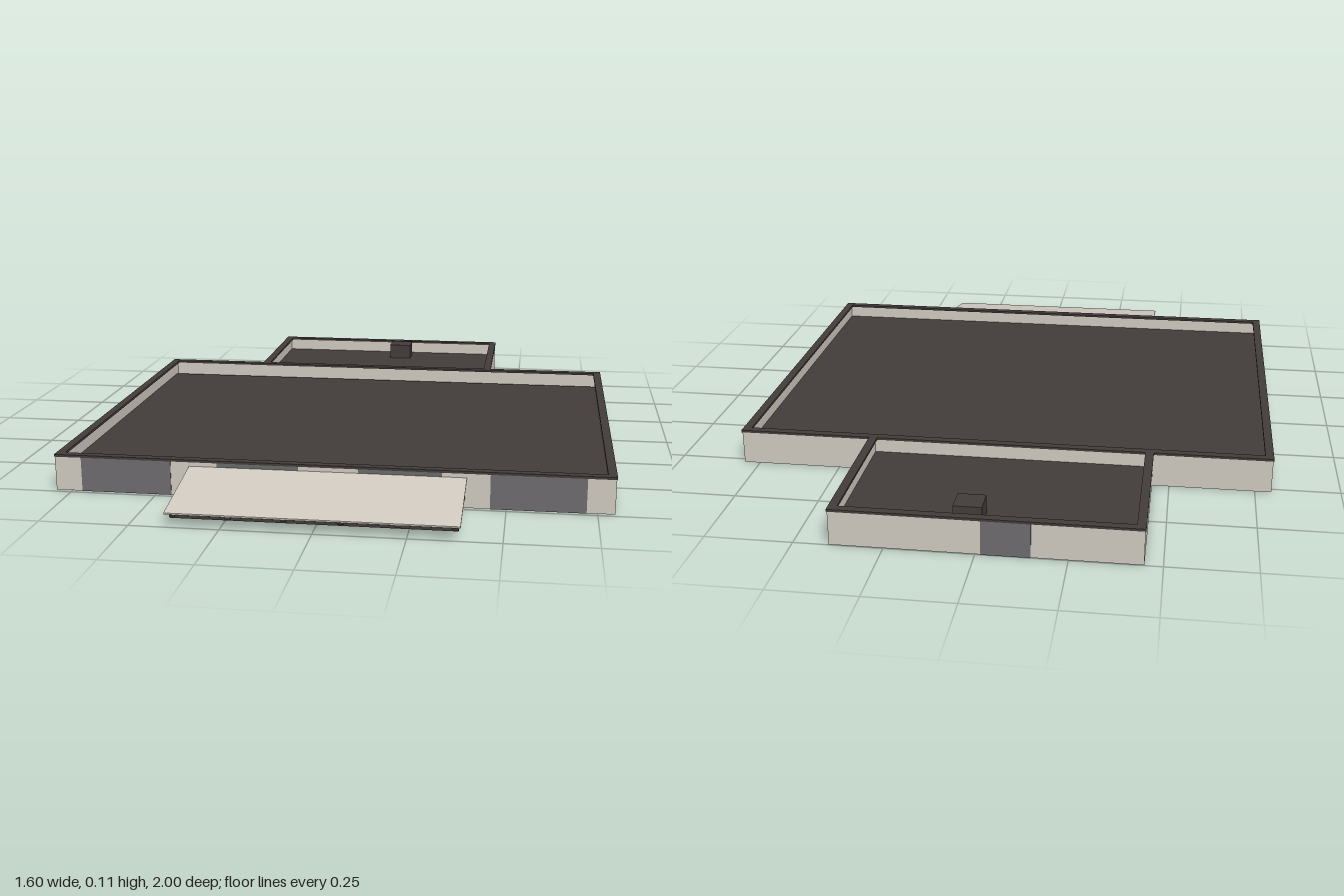
import * as THREE from 'three';

const mat = (name, color) => {
  const m = new THREE.MeshStandardMaterial({ color });
  m.name = name;
  return m;
};

export function createModel() {
  const model = new THREE.Group();
  model.name = 'flatRoofBuilding';
  const plaster = mat('plaster', 0xd0cac0);
  const dark = mat('darkRoofing', 0x423c3a);
  const glass = mat('windowGrey', 0x6e6b6f);
  const doorGlass = mat('doorGrey', 0x666a67);

  // Box given by its limits on each axis
  const box = (name, material, x0, x1, y0, y1, z0, z1, parent = model) => {
    const mesh = new THREE.Mesh(new THREE.BoxGeometry(x1 - x0, y1 - y0, z1 - z0), material);
    mesh.position.set((x0 + x1) / 2, (y0 + y1) / 2, (z0 + z1) / 2);
    mesh.name = name;
    parent.add(mesh);
    return mesh;
  };

  // Rectangular ring of height y0..y1, extruded upward
  const ring = (name, material, x0, x1, z0, z1, t, y0, y1) => {
    const rect = (Type, a, b, c, d) => {
      const p = new Type();
      p.moveTo(a, c); p.lineTo(b, c); p.lineTo(b, d); p.lineTo(a, d); p.closePath();
      return p;
    };
    const shape = rect(THREE.Shape, x0, x1, -z1, -z0);
    shape.holes.push(rect(THREE.Path, x0 + t, x1 - t, -z1 + t, -z0 - t));
    const geo = new THREE.ExtrudeGeometry(shape, { depth: y1 - y0, bevelEnabled: false });
    geo.rotateX(-Math.PI / 2);
    const mesh = new THREE.Mesh(geo, material);
    mesh.position.y = y0;
    mesh.name = name;
    model.add(mesh);
  };

  // Main hall: walls, parapet cap and sunken roof with a slot at the back
  ring('mainWalls', plaster, -0.798, 0.798, -0.52, 0.735, 0.016, 0, 0.1);
  ring('mainParapetCap', dark, -0.8, 0.8, -0.523, 0.737, 0.025, 0.1, 0.107);
  box('mainRoof', dark, -0.783, 0.783, 0.052, 0.06, -0.487, 0.72);

  // Rear annex: three walls, caps and roof
  for (const [x0, x1, side] of [[-0.45, -0.434, 'right'], [0.384, 0.4, 'left']]) {
    box(side + 'AnnexWall', plaster, x0, x1, 0, 0.1, -0.998, -0.52);
  }
  box('annexBackWall', plaster, -0.434, 0.384, 0, 0.1, -0.998, -0.982);
  box('rightAnnexCap', dark, -0.452, -0.427, 0.1, 0.107, -1, -0.523);
  box('leftAnnexCap', dark, 0.377, 0.402, 0.1, 0.107, -1, -0.523);
  box('annexBackCap', dark, -0.427, 0.377, 0.1, 0.107, -1, -0.975);
  box('annexRoof', dark, -0.434, 0.384, 0.052, 0.06, -0.982, -0.52);
  box('annexFloorStrip', plaster, -0.434, 0.384, 0.001, 0.006, -0.74, -0.52);
  box('roofVent', dark, -0.012, 0.068, 0.06, 0.112, -0.945, -0.868);

  // Window and door plates
  for (const s of [-1, 1]) {
    const fx = [[0.455, 0.72, 'frontWindow', glass], [0.085, 0.32, 'frontDoor', doorGlass]];
    for (const [a, b, name, m] of fx) {
      box(name, m, Math.min(s * a, s * b), Math.max(s * a, s * b), 0, 0.1, 0.733, 0.737);
    }
    for (const [a, b] of [[0.3, 0.43], [0.045, 0.17], [-0.375, -0.25]]) {
      box('sideWindow', glass, s * 0.798 - 0.002, s * 0.798 + 0.002, 0, 0.1, a, b);
    }
  }
  box('backWindow', glass, -0.15, -0.015, 0, 0.1, -1, -0.996);

  // Entrance canopy: sloping sheet on six triangular frames
  const canopy = new THREE.Group();
  canopy.name = 'entranceCanopy';
  model.add(canopy);
  const zBack = 0.737, zFront = 1, yBack = 0.084, yFront = 0.036;
  const slope = Math.atan2(yBack - yFront, zFront - zBack);
  const length = Math.hypot(yBack - yFront, zFront - zBack);
  const sloped = (name, m, w, h, x, lift) => {
    const mesh = new THREE.Mesh(new THREE.BoxGeometry(w, h, length), m);
    mesh.rotation.x = slope;
    mesh.position.set(x, (yBack + yFront) / 2 + lift, (zBack + zFront) / 2);
    mesh.name = name;
    canopy.add(mesh);
  };
  sloped('canopySheet', plaster, 0.79, 0.005, -0.005, 0.002);
  for (let i = 0; i < 6; i++) {
    const x = -0.377 + i * 0.1508;
    sloped('canopyRafter', dark, 0.016, 0.006, x, -0.003);
    box('canopyTie', dark, x - 0.008, x + 0.008, 0.026, 0.034, zBack, zFront - 0.005, canopy);
    box('canopyPost', dark, x - 0.008, x + 0.008, 0.026, 0.08, zBack, zBack + 0.008, canopy);
  }
  box('canopyFrontRail', dark, -0.385, 0.385, 0.026, 0.034, 0.965, 0.996, canopy);
  box('canopyBackRail', dark, -0.385, 0.385, 0.026, 0.034, zBack, zBack + 0.014, canopy);
  return model;
}
